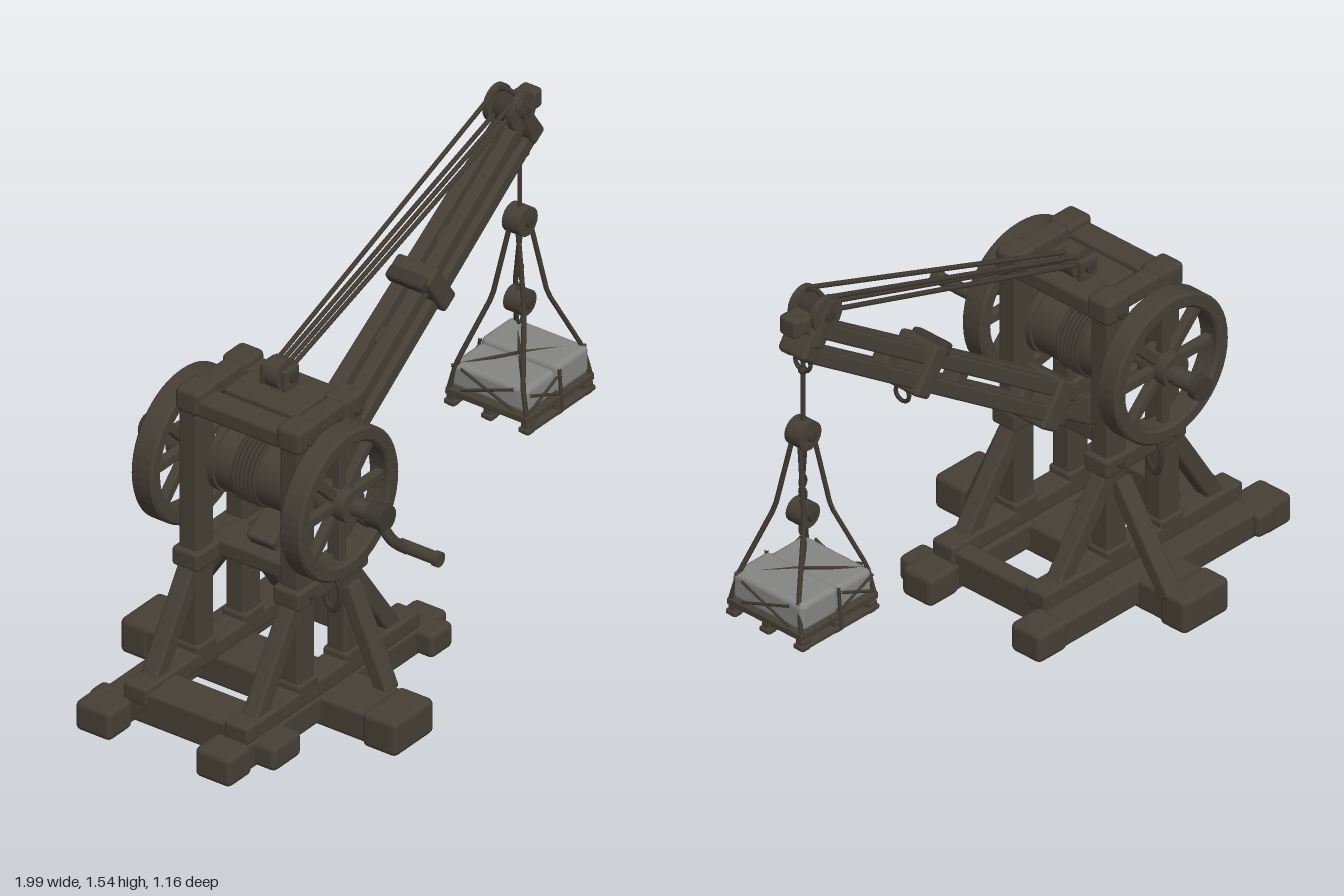
import * as THREE from 'three';
import { RoundedBoxGeometry } from 'three/addons/geometries/RoundedBoxGeometry.js';

const mat = (name, color) => Object.assign(new THREE.MeshStandardMaterial({ color }), { name });
const V = (x, y, z) => new THREE.Vector3(x, y, z);

export function createModel() {
  const wood = mat('dark wood', 0x453f35);
  const iron = mat('iron', 0x3b372f);
  const rope = mat('rope', 0x403a31);
  const stone = mat('grey load', 0x858583);
  const model = new THREE.Group();
  model.name = 'crane';
  const CZ = -0.1;                 // centre plane of the frame
  const SIDES = [0.125, -0.255];   // z of the two upright frames
  const AX = -0.48, AY = 0.795;    // axle

  const add = (parent, name, geo, m, x = 0, y = 0, z = 0) => {
    const mesh = new THREE.Mesh(geo, m);
    mesh.name = name;
    mesh.position.set(x, y, z);
    parent.add(mesh);
    return mesh;
  };
  const box = (parent, name, m, x0, x1, y0, y1, z0, z1, r = 0.012) => {
    const w = x1 - x0, h = y1 - y0, d = z1 - z0;
    const geo = new RoundedBoxGeometry(w, h, d, 2, Math.min(r, Math.min(w, h, d) * 0.3));
    return add(parent, name, geo, m, (x0 + x1) / 2, (y0 + y1) / 2, (z0 + z1) / 2);
  };
  // Square timber between two points
  const strut = (name, a, b, w, d = w) => {
    const mesh = add(model, name, new RoundedBoxGeometry(w, a.distanceTo(b), d, 2, 0.01), wood);
    mesh.position.copy(a).lerp(b, 0.5);
    mesh.quaternion.setFromUnitVectors(V(0, 1, 0), b.clone().sub(a).normalize());
    return mesh;
  };
  // Cylinder along z
  const rod = (parent, name, m, r, x, y, z0, z1, n = 20) =>
    add(parent, name, new THREE.CylinderGeometry(r, r, Math.abs(z1 - z0), n).rotateX(Math.PI / 2), m, x, y, (z0 + z1) / 2);
  const cord = (name, pts, r = 0.007, m = rope) => {
    const path = new THREE.CurvePath();
    for (let i = 1; i < pts.length; i++) path.add(new THREE.LineCurve3(pts[i - 1], pts[i]));
    return add(model, name, new THREE.TubeGeometry(path, (pts.length - 1) * 6, r, 6), m);
  };
  const ring = (name, x, y, z, r, t, turn = 0, stretch = 1) => {
    const mesh = add(model, name, new THREE.TorusGeometry(r, t, 6, 14), iron, x, y, z);
    mesh.rotation.y = turn;
    mesh.scale.y = stretch;
    return mesh;
  };

  // Base timbers
  for (const z of [0.12, -0.33]) {
    box(model, 'baseBeam', wood, -0.98, 0.08, 0.025, 0.115, z - 0.055, z + 0.055);
    box(model, 'beamEnd', wood, -1, -0.88, 0.018, 0.122, z - 0.07, z + 0.065, 0.02);
    box(model, 'beamEnd', wood, -0.03, 0.1, 0.018, 0.122, z - 0.06, z + 0.065, 0.02);
  }
  box(model, 'jointBlock', wood, -0.86, -0.72, 0.03, 0.118, 0.1, 0.25, 0.02);
  box(model, 'jointBlock', wood, -0.05, 0.06, 0.03, 0.118, 0.1, 0.235, 0.02);
  box(model, 'jointBlock', wood, -0.92, -0.84, 0.03, 0.118, -0.41, -0.3, 0.02);
  box(model, 'crossSill', wood, -0.53, -0.34, 0.01, 0.115, -0.57, 0.45, 0.015);
  for (const [z0, z1] of [[-0.58, -0.47], [0.33, 0.46]])
    box(model, 'sillEnd', wood, -0.535, -0.335, 0, 0.122, z0, z1, 0.02);
  for (const [x0, x1] of [[-0.88, -0.73], [-0.1, -0.03]])
    box(model, 'crossTimber', wood, x0, x1, 0.04, 0.155, -0.3, 0.15);

  // Upright frames, mirrored front and back
  SIDES.forEach((z, i) => {
    const s = i ? -1 : 1;
    box(model, 'upperSill', wood, -0.89, -0.02, 0.11, 0.172, z - 0.045, z + 0.045);
    for (const x of [-0.58, -0.345]) {
      box(model, 'post', wood, x - 0.043, x + 0.043, 0.15, 1.06, z - 0.037, z + 0.037);
      box(model, 'postFoot', wood, x - 0.05, x + 0.05, 0.16, 0.195, z - 0.045, z + 0.045);
      box(model, 'postCap', wood, x - 0.052, x + 0.052, 1.0, 1.085, z - 0.046, z + 0.046, 0.018);
      for (const y of [0.495, 1.03])
        rod(model, 'bolt', iron, 0.012, x, y, z + s * 0.03, z + s * 0.062, 8);
    }
    box(model, 'topRail', wood, -0.62, -0.3, 1.02, 1.075, z - 0.035, z + 0.035);
    box(model, 'middleRail', wood, -0.64, -0.285, 0.46, 0.525, z - 0.05, z + 0.05);
    box(model, 'bearingRail', wood, -0.6, -0.33, 0.735, 0.79, z - 0.03, z + 0.03);
    strut('brace', V(-0.8, 0.15, z), V(-0.6, 0.47, z), 0.06);
    strut('brace', V(-0.12, 0.15, z), V(-0.33, 0.45, z), 0.06);
    strut('sideBrace', V(-0.36, 0.1, CZ + s * 0.4), V(-0.36, 0.43, z + s * 0.03), 0.065, 0.05);
    ring('sideRing', -0.485, 0.465, z + s * 0.06, 0.03, 0.008, Math.PI / 2, 1.9);
  });
  for (const x of [-0.58, -0.345])
    box(model, 'topCrossBeam', wood, x - 0.045, x + 0.045, 1.0, 1.06, -0.25, 0.12);
  box(model, 'topPlank', wood, -0.52, -0.37, 1.03, 1.06, -0.2, 0.07);
  box(model, 'bootBeam', wood, -0.53, -0.4, 0.47, 0.53, -0.25, 0.12);

  // Drum and axle
  rod(model, 'drum', wood, 0.112, AX + 0.02, 0.8, -0.21, 0.08, 32);
  for (const z of [-0.205, 0.075]) rod(model, 'drumFlange', wood, 0.12, AX + 0.02, 0.8, z - 0.012, z + 0.012, 32);
  for (let i = 0; i < 6; i++)
    add(model, 'ropeTurn', new THREE.TorusGeometry(0.114, 0.007, 6, 28), rope, AX + 0.02, 0.8, -0.12 + i * 0.015);
  rod(model, 'axle', wood, 0.03, AX, AY, -0.5, 0.36);
  rod(model, 'axleEnd', iron, 0.04, AX, AY, -0.52, -0.49);
  rod(model, 'axleCollar', iron, 0.042, AX, AY, 0.33, 0.39);

  // Spoked wheels
  const rim = new THREE.Shape().absarc(0, 0, 0.242, 0, Math.PI * 2);
  rim.holes.push(new THREE.Path().absarc(0, 0, 0.208, 0, Math.PI * 2, true));
  const rimGeo = new THREE.ExtrudeGeometry(rim, {
    depth: 0.065, bevelEnabled: true, bevelSize: 0.008, bevelThickness: 0.008, bevelSegments: 1, curveSegments: 24 });
  for (const z of [0.215, -0.343]) {
    const wheel = new THREE.Group();
    wheel.name = 'spokedWheel';
    wheel.position.set(AX - 0.01, AY + 0.005, z);
    model.add(wheel);
    add(wheel, 'rim', rimGeo, wood, 0, 0, -0.0325);
    rod(wheel, 'hub', wood, 0.055, 0, 0, -0.055, 0.055);
    for (let i = 0; i < 4; i++)
      add(wheel, 'spokePair', new RoundedBoxGeometry(0.43, 0.034, 0.032, 1, 0.006), wood).rotation.z = i * Math.PI / 4;
  }

  // Crank handle
  const crank = new THREE.CatmullRomCurve3([V(AX, 0.785, 0.34), V(AX, 0.765, 0.365), V(AX, 0.725, 0.41), V(AX, 0.715, 0.47)]);
  add(model, 'crankArm', new THREE.TubeGeometry(crank, 16, 0.018, 10), iron);
  rod(model, 'crankGrip', wood, 0.021, AX + 0.01, 0.715, 0.43, 0.57, 14);
  rod(model, 'gripEnd', wood, 0.025, AX + 0.01, 0.715, 0.562, 0.58, 14);

  // Boom: four parallel timbers tied by collars, built along local x
  const BZ = -0.08;
  const boom = new THREE.Group();
  boom.name = 'boom';
  boom.position.set(-0.48, 0.525, BZ);
  boom.rotation.z = Math.atan(0.675);
  model.add(boom);
  for (const y of [0.044, -0.038]) for (const s of [1, -1]) {
    const geo = new RoundedBoxGeometry(y > 0 ? 1.38 : 1.36, 0.05, 0.054, 2, 0.008);
    const p = geo.attributes.position;
    for (let i = 0; i < p.count; i++) p.setZ(i, p.getZ(i) * (0.88 - 0.2 * p.getX(i)));
    add(boom, 'boomTimber', geo, wood, 0.9, y, s * 0.033).rotation.y = s * 0.009;
  }
  box(boom, 'boomFoot', wood, 0.0, 0.3, -0.045, 0.045, -0.05, 0.05);
  for (const x of [0.4, 0.75, 1.12, 1.5]) box(boom, 'spacer', wood, x - 0.03, x + 0.03, -0.04, 0.05, -0.03, 0.03);
  box(boom, 'lowerCollar', wood, 0.25, 0.33, -0.085, 0.08, -0.078, 0.078);
  box(boom, 'middleCollar', wood, 0.93, 1.0, -0.08, 0.09, -0.077, 0.077);
  box(boom, 'collarPlate', iron, 0.91, 0.955, 0.06, 0.105, -0.07, 0.07);
  box(boom, 'boomHead', wood, 1.52, 1.585, -0.06, 0.1, -0.055, 0.055);

  // Boom tip with pulley
  for (const s of [1, -1]) {
    rod(model, 'tipCheek', wood, 0.062, 0.755, 1.475, BZ + s * 0.035, BZ + s * 0.055);
    strut('tipPlate', V(0.73, 1.52, BZ + s * 0.05), V(0.81, 1.38, BZ + s * 0.05), 0.045, 0.02);
  }
  rod(model, 'tipPulley', iron, 0.048, 0.755, 1.475, BZ - 0.03, BZ + 0.03);
  rod(model, 'tipPin', iron, 0.02, 0.755, 1.475, BZ - 0.068, BZ + 0.068, 10);
  box(model, 'tipBeam', wood, 0.76, 0.85, 1.435, 1.49, BZ - 0.04, BZ + 0.04);
  box(model, 'tipEnd', wood, 0.835, 0.88, 1.43, 1.497, BZ - 0.035, BZ + 0.035, 0.018);
  ring('tipLoop', 0.75, 1.5, BZ, 0.045, 0.008, Math.PI / 2, 0.85);
  ring('boomRing', 0.372, 0.99, BZ, 0.028, 0.007, Math.PI / 2);
  cord('ringStem', [V(0.34, 1.06, BZ), V(0.372, 1.01, BZ)], 0.01, iron);

  // Stay ropes and the pulley on top of the frame
  rod(model, 'framePulley', wood, 0.05, -0.395, 1.1, BZ - 0.025, BZ + 0.025);
  rod(model, 'pulleyPin', iron, 0.018, -0.395, 1.1, BZ - 0.06, BZ + 0.06, 10);
  for (const s of [1, -1]) {
    box(model, 'pulleyCheek', wood, -0.43, -0.36, 1.05, 1.13, BZ + s * 0.04 - 0.01, BZ + s * 0.04 + 0.01);
    cord('upperStay', [V(-0.37, 1.135, BZ + s * 0.02), V(0.75, 1.53, BZ + s * 0.04)], 0.008);
    cord('lowerStay', [V(-0.39, 1.1, BZ + s * 0.02), V(0.74, 1.47, BZ + s * 0.025)], 0.008);
    cord('drumRope', [V(-0.4 + s * 0.025, 1.1, BZ), V(-0.43 + s * 0.02, 0.9, BZ)], 0.005);
  }

  // Hoist line, blocks and chain
  const HX = 0.808;
  cord('hoistLine', [V(0.79, 1.48, BZ), V(HX, 1.42, BZ), V(HX, 1.08, BZ)], 0.008);
  ring('hoistRing', HX, 1.31, BZ, 0.032, 0.007, Math.PI / 2);
  add(model, 'hoistKnot', new THREE.SphereGeometry(0.015, 10, 8), iron, HX, 1.28, BZ);
  for (const [y, r] of [[1.055, 0.048], [0.77, 0.042]]) {
    rod(model, 'hoistBlock', wood, r, HX, y, BZ - 0.032, BZ + 0.032, 16);
    rod(model, 'blockPin', iron, 0.016, HX, y, BZ - 0.045, BZ + 0.045, 8);
  }
  for (let i = 0; i < 5; i++)
    ring('chainLink', HX, 0.88 - i * 0.042, BZ, 0.013, 0.005, i % 2 * Math.PI / 2, 1.5);

  // Slings to the tray corners
  const TX = 0.818, TZ = -0.088;
  for (const sx of [1, -1]) for (const sz of [1, -1])
    cord('sling', [V(HX + sx * 0.03, 1.04, BZ + sz * 0.015), V(HX + sx * 0.058, 0.79, BZ + sz * 0.06),
      V(TX + sx * 0.15, 0.57, TZ + sz * 0.125), V(TX + sx * 0.162, 0.46, TZ + sz * 0.15)], 0.008);

  // Tray: slats on rails
  for (let i = 0; i < 5; i++) {
    const x = TX + (i - 2) * 0.068;
    box(model, 'traySlat', wood, x - 0.033, x + 0.033, 0.458, 0.482, TZ - 0.155, TZ + 0.155, 0.005);
  }
  for (const s of [-1, 0, 1]) {
    box(model, 'trayRail', wood, TX - 0.17, TX + 0.17, 0.423, 0.44, TZ + s * 0.14 - 0.02, TZ + s * 0.14 + 0.02);
    for (const t of [-1, 0, 1])
      box(model, 'trayBlock', wood, TX + t * 0.145 - 0.02, TX + t * 0.145 + 0.02, 0.415, 0.462, TZ + s * 0.14 - 0.017, TZ + s * 0.14 + 0.017);
  }

  // Load with lashings
  box(model, 'loadBlock', stone, TX - 0.155, TX + 0.002, 0.48, 0.568, TZ - 0.145, TZ + 0.14, 0.02);
  box(model, 'loadBlock', stone, TX - 0.002, TX + 0.16, 0.48, 0.58, TZ - 0.15, TZ + 0.145, 0.02);
  for (const s of [1, -1]) {
    cord('topLashing', [V(TX - 0.155, 0.56, TZ + s * 0.13), V(TX, 0.578, TZ), V(TX + 0.16, 0.572, TZ + s * 0.13)], 0.006);
    const z = TZ + s * 0.149;
    cord('sideLashing', [V(TX - 0.15, 0.55, z), V(TX - 0.01, 0.49, z)], 0.005);
    cord('sideLashing', [V(TX - 0.15, 0.49, z), V(TX - 0.01, 0.55, z)], 0.005);
    cord('uprightLashing', [V(TX, 0.575, z), V(TX, 0.43, TZ + s * 0.16)], 0.006);
    const x = TX + s * 0.161;
    cord('endLashing', [V(x, 0.56, TZ - 0.1), V(x, 0.485, TZ + 0.1)], 0.005);
    cord('endLashing', [V(x, 0.485, TZ - 0.1), V(x, 0.56, TZ + 0.1)], 0.005);
  }
  return model;
}
